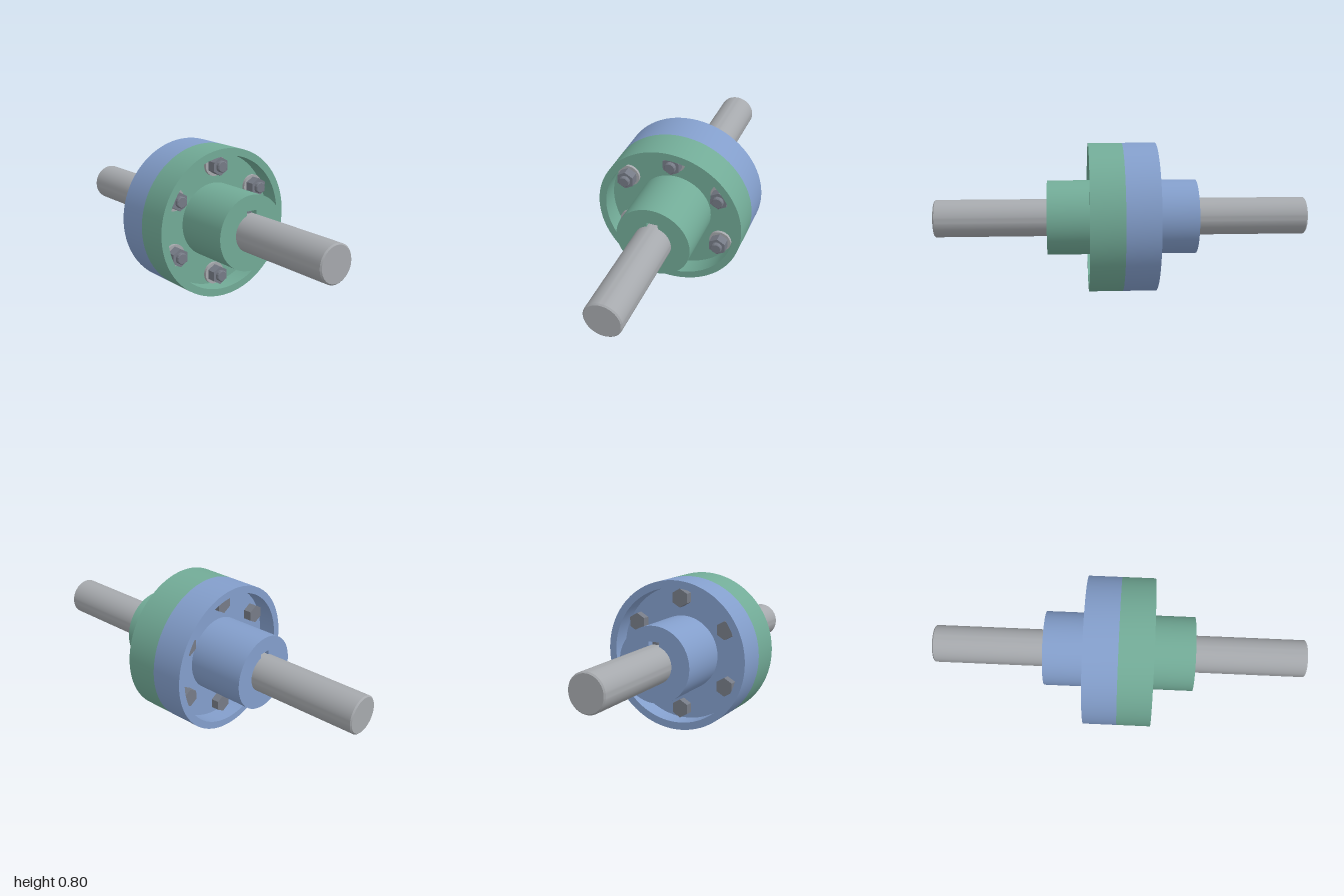
import * as THREE from 'three';
import { toCreasedNormals } from 'three/addons/utils/BufferGeometryUtils.js';

const AXIS_Y = 0.4;

const material = (name, color) => {
  const m = new THREE.MeshStandardMaterial({ color });
  m.name = name;
  return m;
};

const part = (name, geometry, mat) => {
  const mesh = new THREE.Mesh(toCreasedNormals(geometry, 0.5), mat);
  mesh.name = name;
  return mesh;
};

// Profile of [radius, x] pairs turned around the x axis
const turned = (profile, segments = 96) =>
  new THREE.LatheGeometry(profile.map(([r, x]) => new THREE.Vector2(r, x)), segments).rotateZ(-Math.PI / 2);

// Solid rod along x with chamfered ends
const rod = (x0, x1, r, c0, c1) =>
  turned([[0, x0], [r - c0, x0], [r, x0 + c0], [r, x1 - c1], [r - c1, x1], [0, x1]], 64);

// Hexagonal prism along x, corners pointing up and down
const hex = (x0, x1, r) =>
  new THREE.CylinderGeometry(r, r, x1 - x0, 6, 1, false, Math.PI / 2)
    .rotateZ(-Math.PI / 2).translate((x0 + x1) / 2, 0, 0);

// Hub sleeve with a bore and an open keyway at the top
function hubGeometry() {
  const shape = new THREE.Shape().absarc(0, 0, 0.2, 0, Math.PI * 2, false);
  const a = Math.asin(0.3);
  const bore = new THREE.Path();
  bore.moveTo(0.03, 0.1 * Math.cos(a));
  bore.lineTo(0.03, 0.118);
  bore.lineTo(-0.03, 0.118);
  bore.lineTo(-0.03, 0.1 * Math.cos(a));
  bore.absarc(0, 0, 0.1, Math.PI / 2 + a, Math.PI * 2.5 - a, false);
  shape.holes.push(bore);
  return new THREE.ExtrudeGeometry(shape, { depth: 0.4, bevelEnabled: false, curveSegments: 48 })
    .rotateY(Math.PI / 2);
}

// Round-ended key lying along x
function keyGeometry() {
  const s = new THREE.Shape();
  s.absarc(0.35, 0, 0.03, -Math.PI / 2, Math.PI / 2, false);
  s.absarc(0.06, 0, 0.03, Math.PI / 2, Math.PI * 1.5, false);
  return new THREE.ExtrudeGeometry(s, { depth: 0.058, bevelEnabled: false, curveSegments: 16 })
    .rotateX(-Math.PI / 2).translate(0, 0.06, 0);
}

export function createModel() {
  const green = material('green paint', 0x72ab97);
  const blue = material('blue paint', 0x839ecb);
  const steel = material('light steel', 0xa6a9ad);
  const dark = material('dark steel', 0x767b86);

  const model = new THREE.Group();
  model.name = 'flangeCoupling';
  const assembly = new THREE.Group();
  assembly.name = 'assembly';
  assembly.position.y = AXIS_Y;
  model.add(assembly);

  // Two matching halves, each with hub, rimmed flange, shaft and key
  for (const [side, paint, turn] of [['left', green, 0], ['right', blue, Math.PI]]) {
    const half = new THREE.Group();
    half.name = side + 'Half';
    half.rotation.y = turn;
    half.add(
      part('hub', hubGeometry(), paint),
      part('flange', turned([[0.2, 0], [0.4, 0], [0.4, 0.18], [0.36, 0.18], [0.36, 0.08], [0.2, 0.08]]), paint),
      part('shaft', rod(0.005, 1, 0.1, 0, 0.007), steel),
      part('key', keyGeometry(), dark)
    );
    assembly.add(half);
  }

  // Six bolts, with the head on the right half and washer and nut on the left
  for (let i = 0; i < 6; i++) {
    const angle = (i * Math.PI) / 3;
    const bolt = new THREE.Group();
    bolt.name = 'bolt' + (i + 1);
    bolt.position.set(0, 0.3 * Math.cos(angle), 0.3 * Math.sin(angle));
    bolt.add(
      part('boltHead', hex(-0.125, -0.08, 0.05), dark),
      part('boltShank', rod(-0.09, 0.165, 0.03, 0, 0.004), dark),
      part('washer', rod(0.08, 0.095, 0.06, 0, 0), steel),
      part('nut', hex(0.095, 0.145, 0.05), dark)
    );
    assembly.add(bolt);
  }
  return model;
}
